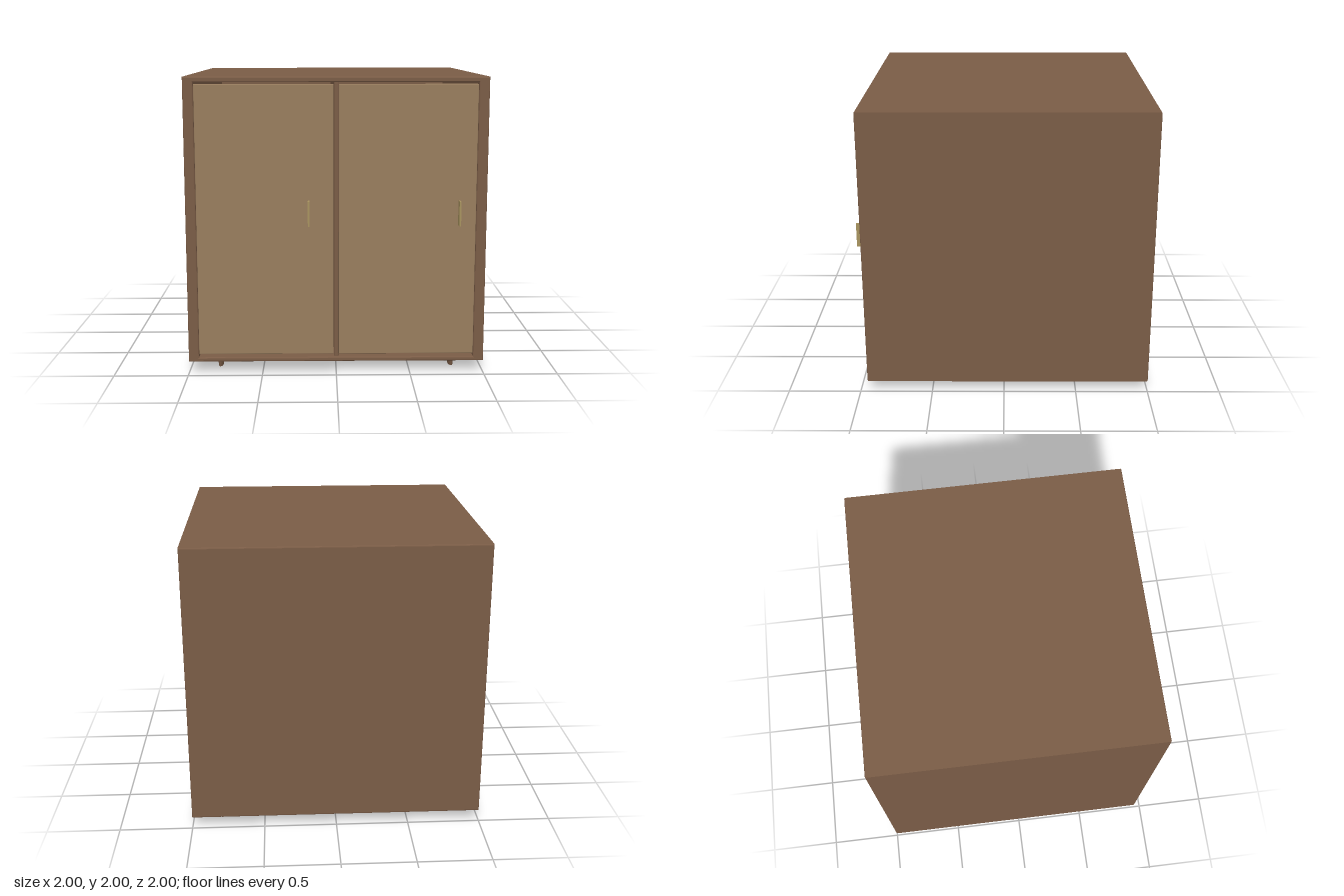
import * as THREE from 'three';
import { RoundedBoxGeometry } from 'three/addons/geometries/RoundedBoxGeometry.js';

const wood = new THREE.MeshStandardMaterial({ color: 0x7a5c46 });
const doorWood = new THREE.MeshStandardMaterial({ color: 0x987d5e });
const brass = new THREE.MeshStandardMaterial({ color: 0xa8935f });

const BACK = -1, FRONT = 0.95;

export function createModel() {
  const cabinet = new THREE.Group();
  cabinet.name = 'cabinet';

  const add = (name, geometry, material, x, y, z) => {
    const mesh = new THREE.Mesh(geometry, material);
    mesh.name = name;
    mesh.position.set(x, y, z);
    cabinet.add(mesh);
    return mesh;
  };

  // Board given by its extents, with softly rounded edges
  const board = (name, material, [x0, x1], [y0, y1], [z0, z1], radius = 0.005) =>
    add(name, new RoundedBoxGeometry(x1 - x0, y1 - y0, z1 - z0, 2, radius), material,
      (x0 + x1) / 2, (y0 + y1) / 2, (z0 + z1) / 2);

  // Carcass: one frame running front to back, with an opening for the doors
  const b = 0.008;
  const outline = new THREE.Shape();
  outline.moveTo(-1 + b, 0.08 + b);
  outline.lineTo(1 - b, 0.08 + b);
  outline.lineTo(1 - b, 2 - b);
  outline.lineTo(-1 + b, 2 - b);
  outline.closePath();
  const opening = new THREE.Path();
  opening.moveTo(-0.93 - b, 0.11 - b);
  opening.lineTo(-0.93 - b, 1.965 + b);
  opening.lineTo(0.93 + b, 1.965 + b);
  opening.lineTo(0.93 + b, 0.11 - b);
  opening.closePath();
  outline.holes.push(opening);
  const frame = new THREE.ExtrudeGeometry(outline, {
    depth: FRONT - BACK - 2 * b, bevelThickness: b, bevelSize: b, bevelSegments: 2,
  });
  add('carcass', frame, wood, 0, 0, BACK + b);

  board('backPanel', wood, [-0.94, 0.94], [0.1, 1.975], [BACK, BACK + 0.03], 0.002);
  board('centreDivider', wood, [-0.014, 0.014], [0.1, 1.975], [BACK + 0.02, 0.925]);

  // Inset doors, both with the handle on their left side
  for (const [side, x0, x1, handleX] of [
    ['right', -0.93, -0.017, -0.183],
    ['left', 0.017, 0.93, 0.817],
  ]) {
    board(side + 'Door', doorWood, [x0, x1], [0.13, 1.952], [0.9, 0.94]);
    add(side + 'Handle', new THREE.BoxGeometry(0.012, 0.166, 0.065), brass, handleX, 1.102, 0.9675);
  }

  // Tapered oval feet
  for (const x of [-0.8, 0.8]) {
    for (const z of [-0.805, 0.755]) {
      const foot = add('foot', new THREE.CylinderGeometry(0.075, 0.056, 0.085, 32), wood, x, 0.0425, z);
      foot.scale.x = 0.3;
    }
  }

  return cabinet;
}
